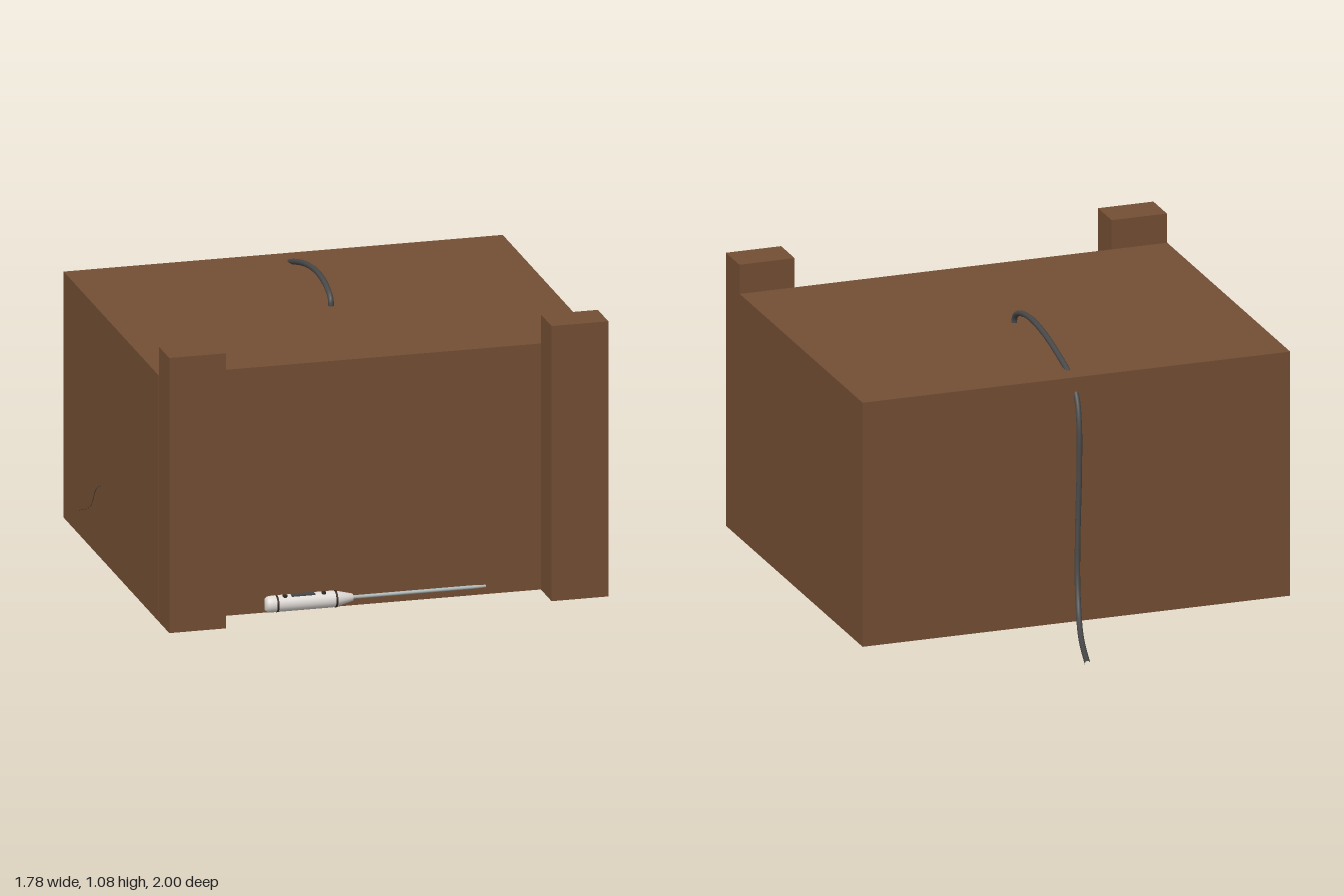
import * as THREE from 'three';

const mat = (name, color, side = THREE.FrontSide) => {
  const m = new THREE.MeshStandardMaterial({ color, side });
  m.name = name;
  return m;
};

export function createModel() {
  const group = new THREE.Group();
  const wood = mat('brown wood', 0x734e34);
  const rubber = mat('dark hose', 0x484848);
  const steel = mat('basin grey', 0x5a5a5a, THREE.DoubleSide);
  const white = mat('off white', 0xdfdad6);
  const metal = mat('shaft metal', 0xacb4b4);
  const dark = mat('dark trim', 0x33291f);

  const add = (name, geo, material, x = 0, y = 0, z = 0, parent = group) => {
    const m = new THREE.Mesh(geo, material);
    m.name = name;
    m.position.set(x, y, z);
    parent.add(m);
    return m;
  };
  const box = (name, x0, x1, y0, y1, z0, z1, material) =>
    add(name, new THREE.BoxGeometry(x1 - x0, y1 - y0, z1 - z0), material,
      (x0 + x1) / 2, (y0 + y1) / 2, (z0 + z1) / 2);
  const tube = (name, pts, r, material, n = 80) =>
    add(name, new THREE.TubeGeometry(
      new THREE.CatmullRomCurve3(pts.map(p => new THREE.Vector3(...p))), n, r, 10), material);

  // Cabinet: hollow walls, open underneath, with a closed top
  const rect = (path, x0, x1, z0, z1) => path.moveTo(x0, -z0).lineTo(x0, -z1)
    .lineTo(x1, -z1).lineTo(x1, -z0).closePath();
  const outline = rect(new THREE.Shape(), -0.81, 0.89, -0.48, 0.85);
  outline.holes.push(rect(new THREE.Path(), -0.735, 0.815, -0.405, 0.775));
  const walls = new THREE.ExtrudeGeometry(outline, { depth: 0.89, bevelEnabled: false });
  walls.rotateX(-Math.PI / 2);
  add('cabinetWalls', walls, wood);
  box('cabinetTop', -0.81, 0.89, 0.89, 0.963, -0.48, 0.85, wood);
  box('rightPost', -0.81, -0.59, 0, 1.077, 0.853, 1, wood);
  box('leftPost', 0.67, 0.89, 0, 1.077, 0.853, 1, wood);

  // Hose: arches over the top, enters it, leaves through the back wall to the floor
  tube('hose', [
    [0.04, 0.93, 0.19], [0.04, 0.985, 0.187], [0.04, 1.015, 0.14], [0.04, 1.035, 0.03],
    [0.04, 1.025, -0.12], [0.04, 0.99, -0.28], [0.04, 0.946, -0.41], [0.04, 0.89, -0.48],
    [0.045, 0.80, -0.522], [0.05, 0.6, -0.537], [0.058, 0.4, -0.545], [0.068, 0.2, -0.567],
    [0.08, 0.1, -0.61], [0.1, 0.045, -0.68], [0.128, 0.022, -0.78], [0.155, 0.018, -0.88],
    [0.187, 0.018, -1],
  ], 0.011, rubber, 140);

  // Basins: flared rounded tubs built from stacked rounded rectangles
  const basinGeometry = () => {
    const rings = [[0.004, 0.25, 0.155, 0.04], [0.007, 0.28, 0.185, 0.05], [0.025, 0.302, 0.208, 0.06],
      [0.055, 0.315, 0.222, 0.07], [0.3, 0.337, 0.262, 0.08], [0.89, 0.365, 0.3, 0.08]];
    const steps = 5, n = 4 * (steps + 1), pos = [0, 0.004, 0], idx = [];
    for (const [y, hx, hz, r] of rings) {
      for (let c = 0; c < 4; c++) {
        const sx = c === 0 || c === 3 ? 1 : -1, sz = c < 2 ? 1 : -1;
        for (let s = 0; s <= steps; s++) {
          const a = (c + s / steps) * Math.PI / 2;
          pos.push(sx * (hx - r) + r * Math.cos(a), y, sz * (hz - r) + r * Math.sin(a));
        }
      }
    }
    for (let k = 0; k < n; k++) {
      const next = (k + 1) % n;
      idx.push(0, 1 + k, 1 + next);
      for (let j = 0; j < rings.length - 1; j++) {
        const a = 1 + j * n + k, b = 1 + j * n + next;
        idx.push(a, a + n, b, b, a + n, b + n);
      }
    }
    const g = new THREE.BufferGeometry();
    g.setAttribute('position', new THREE.Float32BufferAttribute(pos, 3));
    g.setIndex(idx);
    g.computeVertexNormals();
    return g;
  };
  add('leftBasin', basinGeometry(), steel, 0.425, 0, 0.2);
  add('rightBasin', basinGeometry(), steel, -0.345, 0, 0.2);

  // White fitting behind the basins
  add('fittingPipe', new THREE.CylinderGeometry(0.032, 0.032, 0.34, 20).rotateZ(Math.PI / 2),
    white, 0.2, 0.21, -0.13);
  add('fittingCollar', new THREE.CylinderGeometry(0.034, 0.034, 0.01, 20).rotateZ(Math.PI / 2),
    dark, 0.08, 0.21, -0.13);

  // Thin wire poking through the right wall
  tube('thinWire', [[-0.66, 0.3, 0.05], [-0.78, 0.285, 0.04], [-0.82, 0.275, 0.03],
    [-0.845, 0.195, 0.013], [-0.89, 0.185, 0.012]], 0.001, dark, 30);

  // Hand tools: one against each face of the front wall
  const lathe = pts => new THREE.LatheGeometry(
    pts.map(([r, t]) => new THREE.Vector2(r, t)), 24).rotateZ(-Math.PI / 2);
  for (const [name, z] of [['outerTool', 0.854], ['innerTool', 0.772]]) {
    const tool = new THREE.Group();
    tool.name = name;
    tool.position.set(0, 0.033, z);
    group.add(tool);
    add('handle', lathe([[0, -0.4], [0.022, -0.4], [0.03, -0.39], [0.032, -0.37], [0.032, -0.14],
      [0.028, -0.115], [0.014, -0.06], [0, -0.06]]), white, 0, 0, 0, tool);
    add('shaft', lathe([[0, -0.07], [0.007, -0.07], [0.007, 0.4], [0.005, 0.455], [0, 0.455]]),
      metal, 0, 0, 0, tool);
    for (const x of [-0.355, -0.127]) {
      add('handleRing', new THREE.CylinderGeometry(0.0328, 0.0328, 0.007, 24).rotateZ(Math.PI / 2),
        dark, x, 0, 0, tool);
    }
    for (const x of [-0.325, -0.175]) {
      add('handleStud', new THREE.CylinderGeometry(0.009, 0.009, 0.009, 12), dark, x, 0.03, 0.012, tool);
    }
    add('handleGrip', new THREE.BoxGeometry(0.09, 0.005, 0.03), rubber, -0.255, 0.03, 0.006, tool);
  }

  return group;
}
